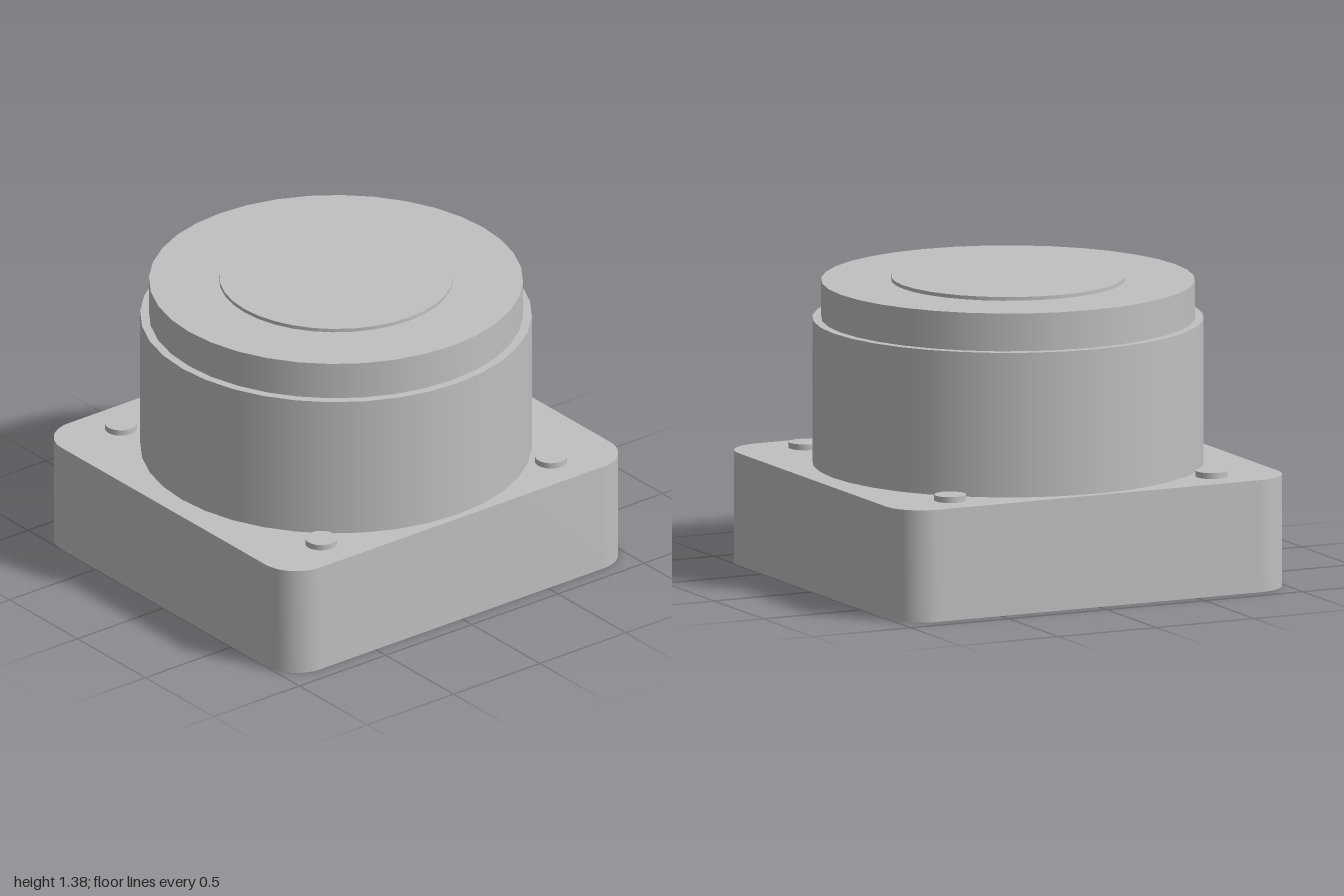
import * as THREE from 'three';
import { toCreasedNormals } from 'three/addons/utils/BufferGeometryUtils.js';

const metal = new THREE.MeshStandardMaterial({ color: 0xc0c0c0 });
metal.name = 'lightGrey';

// Upright cylinder standing between two heights
function disc(name, radius, bottom, top, x = 0, z = 0, sides = 36) {
  const mesh = new THREE.Mesh(
    new THREE.CylinderGeometry(radius, radius, top - bottom, sides), metal);
  mesh.position.set(x, (bottom + top) / 2, z);
  mesh.name = name;
  return mesh;
}

// Block with rounded vertical corners, standing on y = 0
function roundedBlock(name, halfX, halfZ, radius, height) {
  const s = new THREE.Shape();
  s.absarc(halfX - radius, halfZ - radius, radius, 0, Math.PI / 2);
  s.absarc(radius - halfX, halfZ - radius, radius, Math.PI / 2, Math.PI);
  s.absarc(radius - halfX, radius - halfZ, radius, Math.PI, Math.PI * 1.5);
  s.absarc(halfX - radius, radius - halfZ, radius, Math.PI * 1.5, Math.PI * 2);
  s.closePath();
  const geometry = new THREE.ExtrudeGeometry(s, { depth: height, bevelEnabled: false, curveSegments: 10 });
  geometry.rotateX(-Math.PI / 2);
  const mesh = new THREE.Mesh(toCreasedNormals(geometry, Math.PI / 6), metal);
  mesh.name = name;
  return mesh;
}

export function createModel() {
  const model = new THREE.Group();
  model.name = 'flangedHousing';

  // Square base and stepped round body
  model.add(roundedBlock('base', 1, 0.927, 0.18, 0.52));
  model.add(disc('body', 0.893, 0.52, 1.19));
  model.add(disc('upperStep', 0.853, 1.19, 1.365));
  model.add(disc('topPlate', 0.533, 1.365, 1.382));

  // Bolt heads in the four corners
  for (const x of [-0.667, 0.667]) {
    for (const z of [-0.737, 0.737]) {
      model.add(disc('boltHead', 0.073, 0.52, 0.547, x, z, 24));
    }
  }
  return model;
}
